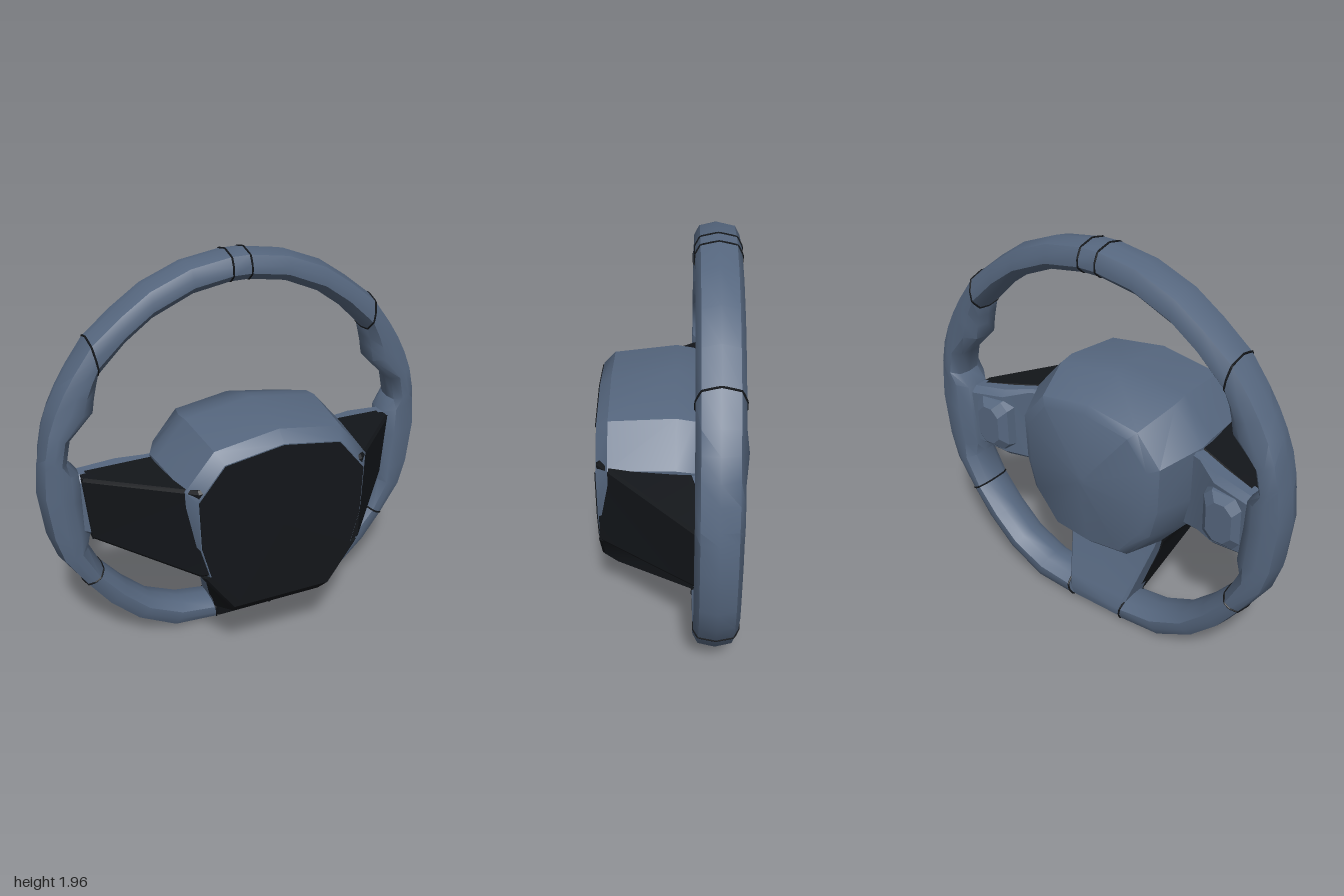
import * as THREE from 'three';
import { toCreasedNormals } from 'three/addons/utils/BufferGeometryUtils.js';

const slate = new THREE.MeshStandardMaterial({ color: 0x56677f });
const dark = new THREE.MeshStandardMaterial({ color: 0x13161a });

// Closed solid through rings of equal point count; winding is turned outward by signed volume.
function loft(rings, crease = 0.7) {
  const n = rings[0].length, pos = rings.flat(2), idx = [];
  rings.slice(1).forEach((_, r) => {
    for (let i = 0; i < n; i++) {
      const a = r * n + i, b = r * n + (i + 1) % n;
      idx.push(a, b, b + n, a, b + n, a + n);
    }
  });
  [0, rings.length - 1].forEach((r, end) => {
    const c = pos.length / 3;
    for (let k = 0; k < 3; k++) pos.push(rings[r].reduce((s, p) => s + p[k], 0) / n);
    for (let i = 0; i < n; i++) {
      const a = r * n + i, b = r * n + (i + 1) % n;
      idx.push(...(end ? [a, b, c] : [b, a, c]));
    }
  });
  const v = i => new THREE.Vector3().fromArray(pos, i * 3);
  let volume = 0;
  for (let i = 0; i < idx.length; i += 3) volume += v(idx[i]).dot(v(idx[i + 1]).cross(v(idx[i + 2])));
  if (volume < 0) idx.reverse();
  const g = new THREE.BufferGeometry();
  g.setAttribute('position', new THREE.Float32BufferAttribute(pos, 3));
  g.setIndex(idx);
  return toCreasedNormals(g, crease);
}

// Rim section between an outer and an inner point of the wheel outline
const RIM_Z = -0.18;
const half = [[1, 0], [0.75, 0.78], [0.15, 1], [-0.4, 1], [-0.9, 0.6], [-1, 0]];
const section = [...half, ...half.slice(1, 5).reverse().map(([u, w]) => [u, -w])];
const rimRing = ([ox, oy, ix, iy], side = 1) => section.map(([u, w]) => [
  side * ((ox + ix) / 2 + u * (ox - ix) / 2),
  (oy + iy) / 2 + u * (oy - iy) / 2,
  RIM_Z + w * 0.1]);

// Outer x, y and inner x, y from the bottom to the top
const stations = [
  [0.15, 0.0, 0.17, 0.125], [0.385, 0.015, 0.33, 0.15], [0.58, 0.12, 0.49, 0.22],
  [0.725, 0.26, 0.61, 0.33], [0.825, 0.40, 0.725, 0.465], [0.93, 0.56, 0.79, 0.61],
  [0.975, 0.70, 0.77, 0.68], [1.0, 0.93, 0.79, 0.86], [0.985, 1.07, 0.80, 1.0],
  [0.97, 1.13, 0.855, 1.06], [0.945, 1.24, 0.83, 1.18], [0.92, 1.33, 0.71, 1.30],
  [0.87, 1.42, 0.70, 1.37], [0.81, 1.51, 0.69, 1.42], [0.71, 1.64, 0.68, 1.47],
  [0.57, 1.75, 0.55, 1.60], [0.43, 1.845, 0.42, 1.695], [0.24, 1.92, 0.225, 1.78],
  [0.045, 1.95, 0.045, 1.81],
];

// Rectangular ring with bevelled corners in two axes, placed by a function
function bevelRing(a0, a1, b0, b1, c, place) {
  return [[a0 + c, b0], [a1 - c, b0], [a1, b0 + c], [a1, b1 - c],
    [a1 - c, b1], [a0 + c, b1], [a0, b1 - c], [a0, b0 + c]].map(([a, b]) => place(a, b));
}

// Hub outline (right half) reshaped at each depth
const hubHalf = [[0, 1.295], [0.33, 1.245], [0.48, 1.07], [0.47, 0.80], [0.42, 0.62], [0.26, 0.43], [0, 0.40]];
const hubOutline = [...hubHalf, ...hubHalf.slice(1, 6).reverse().map(([x, y]) => [-x, y])];
const hubRing = (z, sx, top, bottom) => hubOutline.map(([x, y]) =>
  [x * sx, bottom + (y - 0.40) / 0.895 * (top - bottom), z]);

export function createModel() {
  const model = new THREE.Group();
  const add = (name, geometry, material = slate) => {
    const m = new THREE.Mesh(geometry, material);
    m.name = name;
    model.add(m);
  };
  const seam = (name, ring) => add(name, new THREE.TubeGeometry(
    new THREE.CatmullRomCurve3(ring.map(p => new THREE.Vector3(...p)), true, 'catmullrom', 0.1),
    60, 0.005, 5, true), dark);

  for (const side of [1, -1]) {
    const s = side > 0 ? 'left' : 'right';

    // Rim pieces and the seams between them
    for (const [name, from, to] of [['LowerRim', 0, 4], ['Grip', 4, 14], ['UpperRim', 14, 18]]) {
      add(s + name, loft(stations.slice(from, to + 1).map(p => rimRing(p, side)), 0.8));
    }
    for (const i of [0, 4, 14, 18]) seam(s + 'RimSeam', rimRing(stations[i], side));

    // Side spoke: dark housing sloping forward to the hub
    const spokeRing = (x, y0, y1, z0, z1, c = 0.015, slant = 0) => bevelRing(y0, y1, z0, z1, c,
      (y, z) => [side * (x + slant * (y - 0.83)), y, z]);
    add(s + 'SpokeHousing', loft([
      spokeRing(0.30, 0.60, 1.07, -0.06, 0.355),
      spokeRing(0.405, 0.615, 1.065, -0.06, 0.35),
      spokeRing(0.79, 0.67, 1.0, -0.17, -0.08, 0.015, 0.08),
    ], 0.5), dark);

    // Side spoke: cover on the driver's face, with a raised button pod
    add(s + 'SpokeCover', loft([
      spokeRing(0.35, 0.62, 1.06, -0.10, -0.03),
      spokeRing(0.50, 0.635, 1.045, -0.13, -0.04),
      spokeRing(0.62, 0.65, 1.025, -0.20, -0.06, 0.03),
      spokeRing(0.81, 0.68, 1.0, -0.225, -0.10, 0.03),
    ], 0.5));
    const podRing = (z, inset) => bevelRing(0.57 + inset, 0.79 - inset, 0.69 + inset, 0.98 - inset, 0.04,
      (x, y) => [side * x, y, z]);
    add(s + 'ButtonPod', loft([podRing(-0.17, 0), podRing(-0.215, 0.01), podRing(-0.25, 0.045)], 0.5));

    // Line where the spoke meets the grip
    add(s + 'SpokeSeam', new THREE.TubeGeometry(new THREE.LineCurve3(
      new THREE.Vector3(side * 0.803, 1.0, -0.09), new THREE.Vector3(side * 0.772, 0.67, -0.09)), 1, 0.007, 5), dark);
  }

  // Marker at the top of the rim
  const top = stations[18];
  add('topMarker', loft([rimRing(top), rimRing(top, -1)], 0.8));

  // Lower spoke: rim-thick foot and cover, dark housing sloping forward to the hub
  const footRing = (y, w, z0, z1, c = 0.015) => bevelRing(-w, w, z0, z1, c, (x, z) => [x, y, z]);
  add('lowerSpokeCover', loft([
    footRing(0, 0.15, -0.22, -0.13),
    footRing(0.03, 0.155, -0.265, -0.095),
    footRing(0.08, 0.165, -0.275, -0.085),
    footRing(0.14, 0.18, -0.25, -0.07),
    footRing(0.42, 0.255, -0.13, -0.02),
    footRing(0.55, 0.28, -0.10, 0.0),
  ], 0.6));
  add('lowerSpokeHousing', loft([
    footRing(0.02, 0.153, -0.16, -0.095),
    footRing(0.09, 0.165, -0.16, -0.075),
    footRing(0.345, 0.24, -0.06, 0.30),
    footRing(0.41, 0.26, -0.06, 0.357),
    footRing(0.61, 0.40, -0.04, 0.357),
  ], 0.5), dark);

  // Hub: domed pad at the back, shell, and flat front plate
  add('hub', loft([
    hubRing(-0.355, 0.04, 0.85, 0.81),
    hubRing(-0.315, 0.72, 1.17, 0.47),
    hubRing(-0.285, 0.82, 1.205, 0.44),
    hubRing(-0.08, 1, 1.28, 0.405),
    hubRing(0, 1, 1.295, 0.40),
    hubRing(0.30, 0.94, 1.265, 0.40),
    hubRing(0.355, 0.86, 1.215, 0.41),
  ], 0.6));
  add('hubFrontPlate', loft([hubRing(0.33, 0.85, 1.21, 0.415), hubRing(0.36, 0.85, 1.21, 0.415)], 0.4), dark);

  return model;
}
